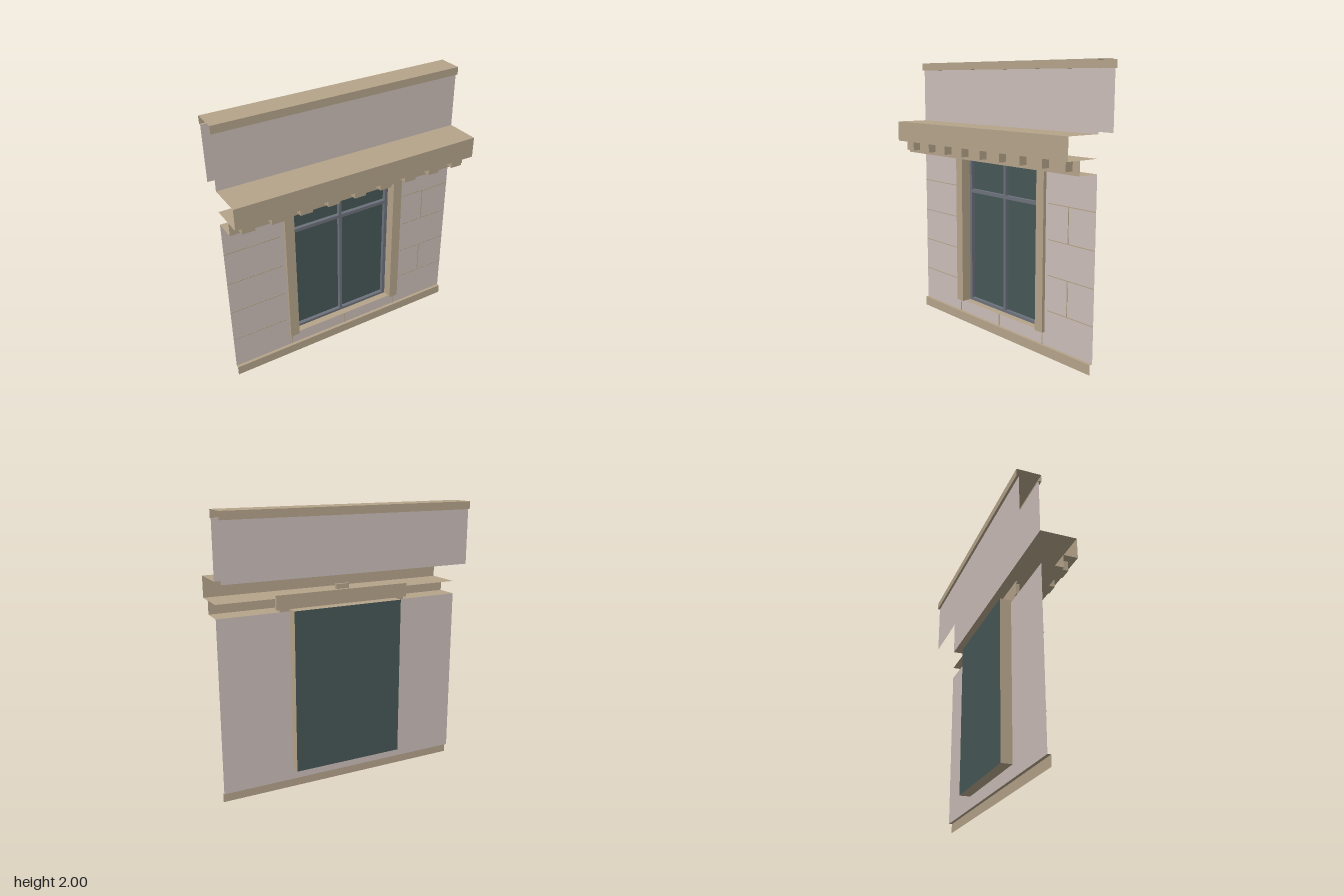
import * as THREE from 'three';

const HALF = 0.93;      // half width of the facade
const WALL_Z = -0.05;   // plane of the wall face
const GLASS_Z = -0.13;  // plane of the window back

function material(name, color) {
  const m = new THREE.MeshStandardMaterial({ color, side: THREE.DoubleSide });
  m.name = name;
  return m;
}

// Open strip: a [z, y] profile swept along x, flat shaded per segment
function strip(profile, half = HALF) {
  const pos = [];
  for (let i = 0; i < profile.length - 1; i++) {
    const [z0, y0] = profile[i], [z1, y1] = profile[i + 1];
    pos.push(-half, y0, z0, -half, y1, z1, half, y1, z1);
    pos.push(-half, y0, z0, half, y1, z1, half, y0, z0);
  }
  const g = new THREE.BufferGeometry();
  g.setAttribute('position', new THREE.Float32BufferAttribute(pos, 3));
  g.computeVertexNormals();
  return g;
}

export function createModel() {
  const stone = material('tan stone', 0xb5a48a);
  const plaster = material('pale plaster', 0xcbbeb9);
  const frame = material('grey window frame', 0x6c717b);
  const glass = material('dark glass', 0x465857);

  const model = new THREE.Group();
  model.name = 'windowFacade';

  function add(name, geometry, mat) {
    const mesh = new THREE.Mesh(geometry, mat);
    mesh.name = name;
    model.add(mesh);
    return mesh;
  }
  function box(name, mat, x0, x1, y0, y1, z0, z1) {
    add(name, new THREE.BoxGeometry(x1 - x0, y1 - y0, z1 - z0), mat)
      .position.set((x0 + x1) / 2, (y0 + y1) / 2, (z0 + z1) / 2);
  }
  function panel(name, mat, x0, x1, y0, y1, z) {
    add(name, new THREE.PlaneGeometry(x1 - x0, y1 - y0), mat)
      .position.set((x0 + x1) / 2, (y0 + y1) / 2, z);
  }

  // Wall sheets around the window opening
  const open = 0.415, sill = 0.16, head = 1.32, wallTop = 1.305;
  panel('wallLeft', plaster, open, HALF, 0.07, wallTop, WALL_Z);
  panel('wallRight', plaster, -HALF, -open, 0.07, wallTop, WALL_Z);
  panel('wallBelowWindow', plaster, -open, open, 0.07, sill, WALL_Z);

  // Parapet, with front and back sheets
  panel('parapetFront', plaster, -HALF, HALF, 1.55, 1.945, WALL_Z);
  panel('parapetBack', plaster, -HALF, HALF, 1.55, 1.945, -0.19);

  // Long mouldings, open at the ends
  add('copingCap', strip([[WALL_Z, 1.945], [-0.03, 1.945], [-0.03, 2], [-0.207, 2],
    [-0.207, 1.945], [-0.19, 1.945]]), stone);
  add('cornice', strip([[WALL_Z, 1.55], [0.207, 1.55], [0.207, 1.4], [WALL_Z, 1.4]]), stone);
  add('corniceBand', strip([[0.105, 1.4], [0.105, wallTop], [WALL_Z, wallTop]]), stone);
  add('plinth', strip([[WALL_Z, 0.07], [-0.027, 0.07], [-0.027, 0]]), stone);

  // Dentils under the cornice
  for (let i = -4; i <= 4; i++) {
    const x = i * 0.2065;
    box('dentil', stone, x - 0.045, x + 0.045, 1.33, 1.399, 0.105, 0.165);
  }

  // Window surround: jambs, lintel, keystone and reveal
  for (const s of [-1, 1]) {
    const [a, b] = [0.413 * s, 0.485 * s].sort((p, q) => p - q);
    box('jamb', stone, a, b, sill, head, WALL_Z + 0.001, -0.025);
  }
  box('lintel', stone, -0.51, 0.51, head, 1.42, WALL_Z, -0.025);
  box('keystone', stone, -0.05, 0.05, head, 1.455, -0.025, -0.005);
  add('revealHead', strip([[WALL_Z, head], [GLASS_Z, head]], open), stone);
  add('revealSill', strip([[WALL_Z, sill], [GLASS_Z, sill]], open), stone);
  for (const s of [-1, 1]) {
    const side = add('revealSide', new THREE.PlaneGeometry(WALL_Z - GLASS_Z, head - sill), stone);
    side.rotation.y = s * -Math.PI / 2;
    side.position.set(s * open, (sill + head) / 2, (WALL_Z + GLASS_Z) / 2);
  }

  // Glass and window frame bars
  panel('glass', glass, -open, open, sill, head, GLASS_Z);
  const zb = GLASS_Z + 0.002, zf = -0.1, e = open - 0.002;
  box('frameStile', frame, -e, -0.388, sill + 0.002, head - 0.002, zb, zf);
  box('frameStile', frame, 0.388, e, sill + 0.002, head - 0.002, zb, zf);
  box('frameBottom', frame, -0.388, 0.388, sill + 0.002, 0.182, zb, zf);
  box('frameTop', frame, -0.388, 0.388, 1.296, head - 0.002, zb, zf);
  box('mullion', frame, -0.011, 0.011, 0.182, 1.296, zb, zf);
  box('transom', frame, -0.388, -0.011, 1.022, 1.048, zb, zf);
  box('transom', frame, 0.011, 0.388, 1.022, 1.048, zb, zf);

  // Thin joints between the wall blocks
  const t = 0.003, jz = WALL_Z + 0.003;
  for (const y of [0.323, 0.572, 0.82, 1.067]) {
    box('courseJoint', stone, 0.51, HALF, y - t, y + t, WALL_Z + 0.0005, jz);
    box('courseJoint', stone, -HALF, -0.51, y - t, y + t, WALL_Z + 0.0005, jz);
  }
  for (const [x, y0, y1] of [[0.695, 0.323, 0.572], [0.695, 0.82, 1.067],
    [-0.465, 0.07, sill], [0, 0.07, sill], [0.465, 0.07, sill]]) {
    box('uprightJoint', stone, x - t, x + t, y0, y1, WALL_Z + 0.0005, jz);
  }

  return model;
}
